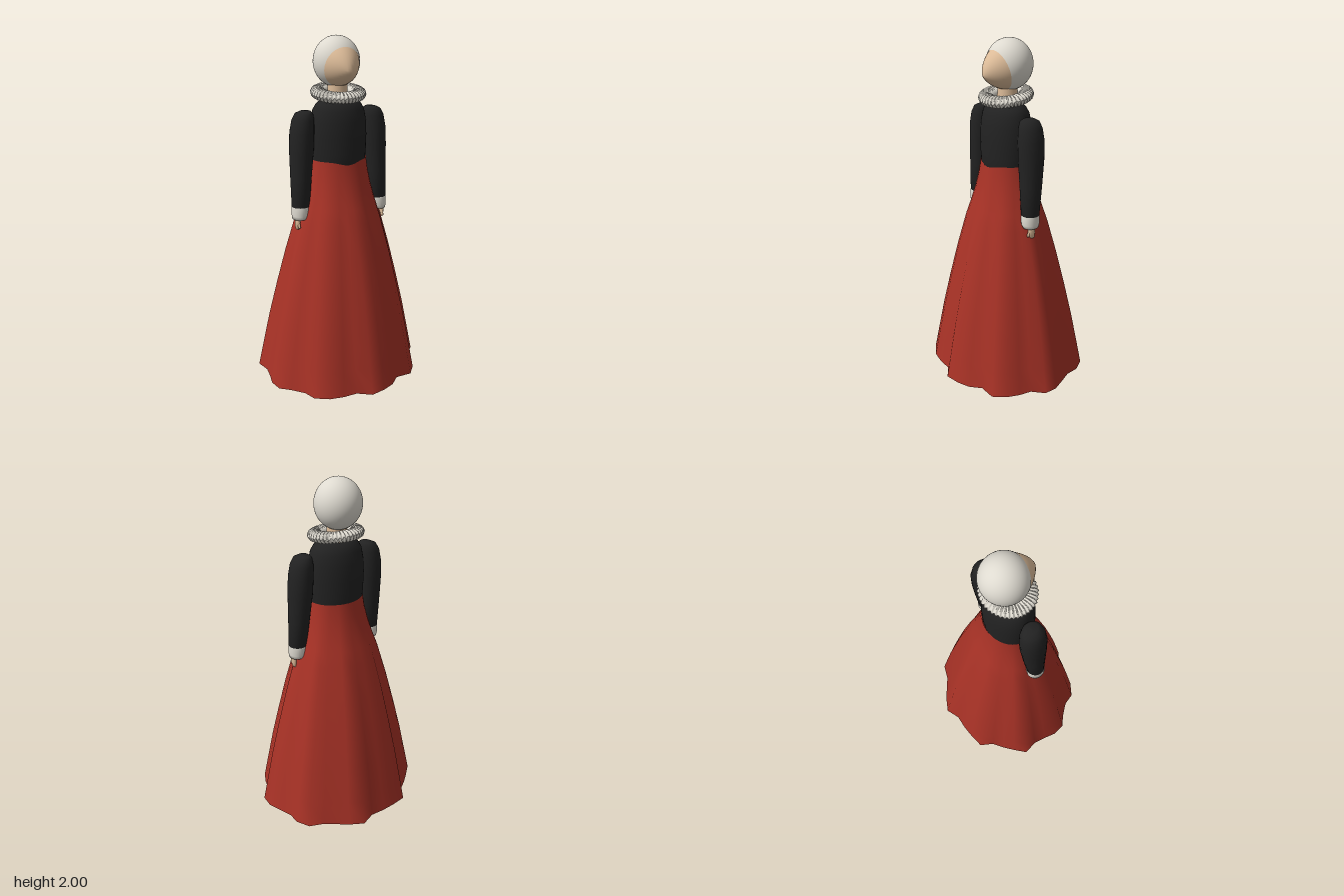
import * as THREE from 'three';

// Closed-ring surface; rings run from top to bottom, each an array of [x, y, z]
function ringSurface(rings) {
  const n = rings[0].length, index = [];
  for (let i = 0; i < rings.length - 1; i++) {
    for (let j = 0; j < n; j++) {
      const a = i * n + j, b = i * n + (j + 1) % n;
      index.push(a, b, a + n, b, b + n, a + n);
    }
  }
  const geo = new THREE.BufferGeometry();
  geo.setAttribute('position', new THREE.Float32BufferAttribute(rings.flat(2), 3));
  geo.setIndex(index);
  geo.computeVertexNormals();
  return geo;
}

// Loft of ellipses: [y, centre x, centre z, radius x, radius z]
function loft(sections, n = 28) {
  return ringSurface(sections.map(([y, cx, cz, rx, rz]) =>
    Array.from({ length: n }, (_, j) => {
      const a = (j / n) * Math.PI * 2;
      return [cx + rx * Math.cos(a), y, cz + rz * Math.sin(a)];
    })));
}

// Outline of the skirt hem (x, z)
const HEM = [
  [0.47, 0], [0.468, 0.075], [0.405, 0.135], [0.39, 0.205], [0.36, 0.275], [0.305, 0.34],
  [0.21, 0.34], [0.15, 0.395], [0.08, 0.423], [-0.005, 0.44], [-0.08, 0.39], [-0.16, 0.39],
  [-0.24, 0.375], [-0.315, 0.33], [-0.34, 0.26], [-0.4, 0.195], [-0.455, 0.15], [-0.47, 0.075],
  [-0.455, 0], [-0.445, -0.075], [-0.465, -0.16], [-0.405, -0.22], [-0.35, -0.27], [-0.29, -0.315],
  [-0.25, -0.39], [-0.16, -0.405], [-0.085, -0.412], [0, -0.41], [0.08, -0.445], [0.16, -0.405],
  [0.28, -0.32], [0.365, -0.29], [0.405, -0.22], [0.41, -0.145], [0.44, -0.075],
];

function skirtGeometry() {
  // Height and spread from waist (0) to hem (1)
  const rows = [[1.34, 0], [1.26, 0.04], [1.17, 0.11], [1.08, 0.2], [1, 0.29], [0.8, 0.47],
    [0.6, 0.63], [0.4, 0.78], [0.2, 0.91], [0.06, 1]];
  return ringSurface(rows.map(([y, k], row) => HEM.map(([hx, hz]) => {
    const a = Math.atan2(hz, hx);
    const wx = 0.158 * Math.cos(a) - 0.005, wz = 0.131 * Math.sin(a);
    const dip = row === 0 ? 0.02 * Math.max(0, Math.sin(a)) ** 12 : 0;
    return [wx + (hx - wx) * k, y - dip, wz + (hz - wz) * k];
  })));
}

function faceGeometry() {
  const geo = new THREE.SphereGeometry(1, 48, 36).scale(0.122, 0.13, 0.12);
  const p = geo.attributes.position;
  for (let i = 0; i < p.count; i++) {
    if (p.getZ(i) <= 0) continue;
    // Draw the front out to a pointed nose
    const d = Math.hypot(p.getX(i) * 1.15, p.getY(i) + 0.045);
    p.setZ(i, p.getZ(i) + 0.06 * Math.max(0, 1 - d / 0.14));
  }
  geo.computeVertexNormals();
  return geo;
}

function ruffGeometry() {
  const geo = new THREE.TorusGeometry(0.108, 0.043, 12, 252).rotateX(Math.PI / 2);
  const p = geo.attributes.position;
  for (let i = 0; i < p.count; i++) {
    const x = p.getX(i), z = p.getZ(i), a = Math.atan2(z, x), r = Math.hypot(x, z);
    const outer = (r - 0.065) / 0.086;
    const s = 1 + 0.025 * outer * Math.cos(42 * a);
    p.setXYZ(i, x * s, p.getY(i) * 0.68 + 0.006 * outer * Math.sin(42 * a), z * s * 0.96);
  }
  geo.computeVertexNormals();
  return geo;
}

export function createModel() {
  const model = new THREE.Group();
  const material = (name, color, side = THREE.FrontSide) => {
    const m = new THREE.MeshStandardMaterial({ color, side });
    m.name = name;
    return m;
  };
  const red = material('red cloth', 0xa83226, THREE.DoubleSide);
  const black = material('black cloth', 0x222222);
  const white = material('white linen', 0xdedad0, THREE.DoubleSide);
  const skin = material('skin', 0xdcbb98);

  const body = new THREE.Group();
  body.name = 'body';
  body.position.x = -0.007;
  model.add(body);
  const add = (name, geo, mat, parent = body) => {
    const mesh = new THREE.Mesh(geo, mat);
    mesh.name = name;
    parent.add(mesh);
    return mesh;
  };

  add('skirt', skirtGeometry(), red, model);

  // Bodice with rounded shoulders
  add('bodice', loft([
    [1.672, 0, 0, 0, 0], [1.67, 0, 0, 0.06, 0.05], [1.662, 0, 0, 0.1, 0.075],
    [1.642, 0, 0, 0.128, 0.095], [1.61, 0, 0, 0.147, 0.112], [1.55, 0, 0, 0.158, 0.125],
    [1.47, 0, 0, 0.162, 0.129], [1.38, 0, 0, 0.159, 0.13], [1.33, 0, 0, 0.155, 0.128],
    [1.26, 0, 0, 0.15, 0.12],
  ], 40), black);

  // Head, cap and ruff
  add('neck', new THREE.CylinderGeometry(0.052, 0.058, 0.14, 24).translate(0, 1.71, -0.01), skin);
  add('face', faceGeometry(), skin).position.set(0, 1.863, -0.022);
  const cap = add('cap', new THREE.SphereGeometry(1, 48, 24, 0, Math.PI * 2, 0.95, Math.PI - 0.95)
    .rotateX(1.88).scale(0.128, 0.137, 0.127), white);
  cap.position.set(0, 1.863, -0.022);
  const ruff = add('ruff', ruffGeometry(), white);
  ruff.position.set(0, 1.698, 0);
  ruff.rotation.x = 0.13;

  // Limbs, with s = 1 for the left side and -1 for the right
  for (const s of [1, -1]) {
    const side = s > 0 ? 'left' : 'right';
    add(side + 'Sleeve', loft([
      [1.615, s * 0.198, 0, 0, 0], [1.612, s * 0.198, 0.002, 0.03, 0.035],
      [1.6, s * 0.205, 0.002, 0.048, 0.055], [1.565, s * 0.212, 0.002, 0.06, 0.067],
      [1.5, s * 0.219, 0.002, 0.066, 0.074], [1.4, s * 0.224, 0.004, 0.066, 0.072],
      [1.25, s * 0.232, 0.01, 0.058, 0.062], [1.09, s * 0.24, 0.018, 0.05, 0.05],
      [1.085, s * 0.24, 0.018, 0, 0],
    ]), black);
    add(side + 'Cuff', loft([
      [1.095, s * 0.242, 0.018, 0.047, 0.047], [1.08, s * 0.242, 0.018, 0.049, 0.052],
      [1.04, s * 0.245, 0.02, 0.046, 0.052], [1.02, s * 0.248, 0.02, 0.04, 0.045],
      [1.014, s * 0.248, 0.022, 0, 0],
    ]), white);

    // Hand with a short thumb
    add(side + 'Hand', loft([
      [1.03, s * 0.262, 0.025, 0.012, 0.014], [1.005, s * 0.264, 0.026, 0.014, 0.022],
      [0.98, s * 0.264, 0.026, 0.013, 0.02], [0.96, s * 0.262, 0.02, 0.01, 0.013],
      [0.954, s * 0.262, 0.02, 0, 0],
    ], 16), skin);
    const thumb = add(side + 'Thumb', new THREE.CapsuleGeometry(0.007, 0.025, 4, 10), skin);
    thumb.position.set(s * 0.262, 0.988, 0.045);
    thumb.rotation.x = -0.35;

    // Leg and rounded shoe
    add(side + 'Leg', loft([
      [1, s * 0.075, 0, 0.085, 0.085], [0.6, s * 0.088, -0.005, 0.075, 0.075],
      [0.4, s * 0.095, -0.015, 0.062, 0.064], [0.2, s * 0.098, -0.018, 0.05, 0.054],
      [0.05, s * 0.098, -0.02, 0.04, 0.044],
    ]), black);
    add(side + 'Shoe', new THREE.SphereGeometry(1, 28, 18).scale(0.048, 0.048, 0.108), black)
      .position.set(s * 0.098, 0.048, 0.037);
  }
  return model;
}
